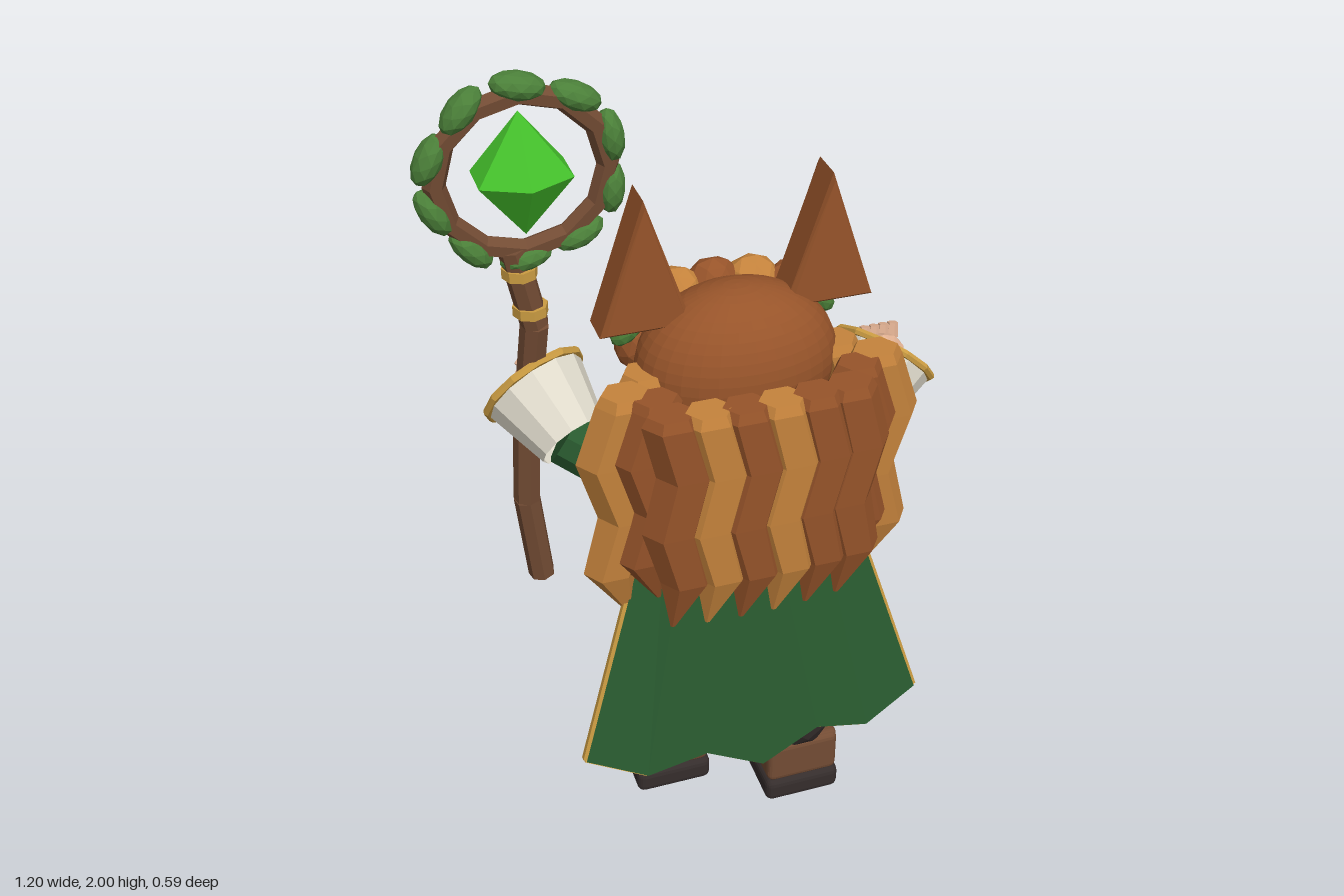
import * as THREE from 'three';
import { RoundedBoxGeometry } from 'three/addons/geometries/RoundedBoxGeometry.js';

const V = (x, y, z) => new THREE.Vector3(x, y, z);
const C = 0.055; // mirror line of the body

function paint(name, color, side = THREE.FrontSide) {
  const m = new THREE.MeshStandardMaterial({ color, flatShading: true, side });
  m.name = name;
  return m;
}

// Plate standing on y = 0, tapering from bottom to top; a triangle when wTop is 0
function plate(wTop, wBottom, h, depth, bevel = 0) {
  const s = new THREE.Shape([
    new THREE.Vector2(-wBottom / 2, 0), new THREE.Vector2(wBottom / 2, 0),
    new THREE.Vector2(wTop / 2, h), new THREE.Vector2(-wTop / 2, h)].slice(0, wTop ? 4 : 3));
  return new THREE.ExtrudeGeometry(s, { depth, bevelEnabled: bevel > 0, bevelSize: bevel, bevelThickness: bevel, bevelSegments: 1 });
}

export function createModel() {
  const root = new THREE.Group();
  const green = paint('cloth green', 0x295a2f, THREE.DoubleSide);
  const leaf = paint('leaf green', 0x4b8039);
  const gem = paint('gem green', 0x45c22c);
  const hair = paint('auburn hair', 0x97542a);
  const light = paint('copper hair', 0xc5833c);
  const leather = paint('leather brown', 0x734c34);
  const dark = paint('charcoal', 0x352d2c);
  const cream = paint('cream', 0xdfdacb, THREE.DoubleSide);
  const gold = paint('gold', 0xcb9c42);
  const skin = paint('skin', 0xe0b092);

  function add(name, geo, mat, p = [0, 0, 0], s = [1, 1, 1], r = [0, 0, 0]) {
    const m = new THREE.Mesh(geo, mat);
    m.name = name;
    m.position.set(...p);
    m.scale.set(...s);
    m.rotation.set(...r);
    root.add(m);
    return m;
  }
  const ball = (name, mat, p, s, w = 16, h = 12) => add(name, new THREE.SphereGeometry(1, w, h), mat, p, s);
  const stone = (name, mat, p, s, r, detail = 1) => add(name, new THREE.IcosahedronGeometry(1, detail), mat, p, s, r);
  const block = (name, mat, p, s, r, bevel = 0.012) => add(name, new RoundedBoxGeometry(...s, 2, bevel), mat, p, [1, 1, 1], r);
  // Tapered rod from a to b
  function rod(name, mat, a, b, r0, r1 = r0, n = 8, open = false) {
    const d = b.clone().sub(a);
    const m = add(name, new THREE.CylinderGeometry(r1, r0, d.length(), n, 1, open), mat, a.clone().lerp(b, 0.5).toArray());
    m.quaternion.setFromUnitVectors(V(0, 1, 0), d.normalize());
  }
  // Disc or ring facing along a direction
  function facing(name, geo, mat, p, dir) {
    add(name, geo, mat, p.toArray()).quaternion.setFromUnitVectors(V(0, 0, 1), dir.clone().normalize());
  }
  // Wavy lock of hair, lofted from top to tip
  function lock(mat, x, z, yTop, yTip, rx, rz, sway) {
    const n = 6, pos = [], idx = [];
    const rings = [[0, 0.8], [0.04, 1], [0.27, 1.05], [0.52, 1.05], [0.77, 0.95], [1, 0.1]];
    rings.forEach(([t, k], i) => {
      const off = (i % 2 ? -sway : sway) * (i === 0 ? -0.5 : 0.5);
      for (let j = 0; j < n; j++) {
        const a = (j / n) * Math.PI * 2;
        pos.push(x + off + Math.cos(a) * rx * k, yTop + (yTip - yTop) * t, z - Math.abs(sway) * t * 0.35 + Math.sin(a) * rz * k);
        const q = i * n + j, w = i * n + ((j + 1) % n), last = i === rings.length - 1;
        if (!last) idx.push(q, w, q + n, w, w + n, q + n);
        if (i === 0 && j > 0 && j < n - 1) idx.push(0, j + 1, j);
        if (last && j > 0 && j < n - 1) idx.push(i * n, q, w);
      }
    });
    const g = new THREE.BufferGeometry();
    g.setAttribute('position', new THREE.Float32BufferAttribute(pos, 3));
    g.setIndex(idx);
    const flat = g.toNonIndexed();
    flat.computeVertexNormals();
    add('hairLock', flat, mat);
  }

  // Boots and legs, one foot forward
  for (const [x, z, lz] of [[-0.1, -0.135, -0.06], [0.21, 0, 0.068]]) {
    block('sole', dark, [x, 0.042, z], [0.2, 0.07, 0.29], [0, 0, 0], 0.02);
    block('boot', leather, [x, 0.135, z + 0.008], [0.19, 0.125, 0.262], [0, 0, 0], 0.018);
    block('bootCuff', leather, [x, 0.185, z + 0.035], [0.19, 0.03, 0.19]);
    add('toeCap', new THREE.OctahedronGeometry(1), gold, [x, 0.125, z - 0.122], [0.07, 0.036, 0.034]);
    block('bootStrap', gold, [x, 0.199, z - 0.085], [0.1, 0.012, 0.02], [0, 0, 0], 0.004);
    for (const s of [-1, 1]) ball('bootStud', gold, [x + s * 0.075, 0.19, z - 0.065], [0.014, 0.014, 0.014], 8, 6);
    stone('leg', dark, [x, 0.325, lz], [0.11, 0.185, 0.114]);
  }

  // Torso, belt and leafy garland
  stone('torso', green, [C, 0.86, -0.01], [0.21, 0.29, 0.145]);
  block('belt', leather, [C, 0.66, -0.01], [0.4, 0.06, 0.29]);
  for (let i = 0; i < 9; i++) {
    const t = (i - 4) / 4;
    stone('beltGarland', i % 2 ? gold : leaf, [C + t * 0.2, 0.62 - 0.02 * (1 - t * t), -0.165 + 0.035 * t * t],
      [0.055, 0.036, 0.032], [0, 0, i % 2 ? 0.7 : -0.5]);
  }
  for (const s of [-1, 1]) {
    stone('garlandEnd', leaf, [C + s * 0.19, 0.575, -0.15], [0.03, 0.05, 0.03], [0, 0, s * 0.4]);
  }

  // Hip panels: green backing, gold border and cream face
  for (const s of [-1, 1]) {
    const panel = new THREE.Group();
    panel.name = 'hipPanel';
    for (const [mat, inset, z, d] of [[green, 0, 0.002, 0.026], [gold, 0, -0.008, 0.01], [cream, 0.015, -0.014, 0.008]]) {
      const m = new THREE.Mesh(plate(0.15 - inset * 2, 0.2 - inset * 2, 0.34 - inset * 2, d), mat);
      m.name = 'panelLayer';
      m.position.set(0, inset - 0.34, z);
      panel.add(m);
    }
    panel.position.set(C + s * 0.12, 0.63, -0.1);
    panel.rotation.set(0, -s * 0.32, s * 0.34, 'ZYX');
    root.add(panel);
  }

  // Cape with a pointed hem
  const cols = 6, top = [], hem = [], capePos = [];
  for (let i = 0; i <= cols; i++) {
    const u = i / 3 - 1;
    top.push(V(C + u * 0.17, 1.2, 0.13 - u * u * 0.05));
    hem.push(V(C + u * 0.43, i % 2 ? (i === 3 ? 0.28 : 0.3) : 0.355, 0.255 - u * u * 0.07));
  }
  for (let i = 0; i < cols; i++) {
    for (const p of [top[i], hem[i], hem[i + 1], top[i], hem[i + 1], top[i + 1]]) capePos.push(...p.toArray());
  }
  const capeGeo = new THREE.BufferGeometry();
  capeGeo.setAttribute('position', new THREE.Float32BufferAttribute(capePos, 3));
  capeGeo.computeVertexNormals();
  add('cape', capeGeo, green);
  const inset = (p) => p.clone().add(V(0, 0, -0.012));
  for (let i = 0; i < cols; i++) rod('capeHem', gold, inset(hem[i]), inset(hem[i + 1]), 0.01, 0.01, 4);
  for (const i of [0, cols]) rod('capeEdge', gold, inset(top[i]), inset(hem[i]), 0.01, 0.01, 4);

  // Collar and pendant
  for (const s of [-1, 1]) {
    const r = [0.45, -s * 0.3, s * 0.55];
    block('collarTrim', gold, [C + s * 0.105, 1.06, -0.148], [0.125, 0.155, 0.014], r, 0.004);
    block('collar', cream, [C + s * 0.105, 1.063, -0.154], [0.103, 0.133, 0.014], r, 0.004);
  }
  add('pendant', new THREE.OctahedronGeometry(1), gem, [C, 0.98, -0.175], [0.038, 0.055, 0.028]);

  // Arms with flared cuffs
  for (const [name, sh, rim, dir] of [
    ['right', V(C - 0.16, 1.0, 0), V(-0.36, 1.2, -0.205), V(-0.35, 0.52, -0.76)],
    ['left', V(C + 0.16, 1.0, 0), V(0.49, 1.15, -0.15), V(0.62, 0.66, -0.42)]]) {
    dir.normalize();
    const wrist = rim.clone().addScaledVector(dir, -0.165);
    rod(name + 'Sleeve', green, sh, wrist.clone().addScaledVector(dir, 0.03), 0.085, 0.08, 10);
    ball(name + 'Shoulder', green, sh.toArray(), [0.09, 0.09, 0.09], 10, 8);
    rod(name + 'Cuff', cream, wrist, rim, 0.085, 0.127, 12, true);
    facing(name + 'CuffLining', new THREE.CircleGeometry(0.105, 12), cream, rim.clone().addScaledVector(dir, -0.06), dir);
    facing(name + 'CuffTrim', new THREE.TorusGeometry(0.127, 0.01, 6, 12), gold, rim, dir);
    const palm = rim.clone().addScaledVector(dir, -0.005);
    stone(name + 'Hand', skin, palm.toArray(), [0.058, 0.058, 0.053]);
    for (let i = 0; i < 4; i++) {
      if (name === 'left') {
        const a = palm.clone().add(V(-0.036 + i * 0.024, 0.03, -0.03));
        rod('finger', skin, a, a.clone().add(V(0.004, 0.035, -0.008)), 0.016, 0.013, 6);
      } else ball('finger', skin, [-0.36, 1.175 + i * 0.024, -0.235], [0.036, 0.015, 0.022], 8, 6);
    }
  }

  // Head and face
  ball('face', skin, [C, 1.27, -0.025], [0.198, 0.19, 0.175], 32, 24);
  ball('hairCap', hair, [C, 1.325, 0.015], [0.232, 0.188, 0.16], 32, 24);
  ball('nose', skin, [C, 1.235, -0.21], [0.035, 0.032, 0.035]);
  block('mouth', dark, [C, 1.175, -0.178], [0.04, 0.009, 0.01], [0.4, 0, 0], 0.003);
  for (const s of [-1, 1]) {
    const dir = V(s * 0.48, 0.04, -1).normalize();
    const eye = V(C, 1.27, -0.025).add(V(dir.x * 0.196, dir.y * 0.19, dir.z * 0.174));
    [[0.05, cream, 'eyeWhite'], [0.034, leaf, 'iris'], [0.021, dark, 'pupil']].forEach(([r, mat, n], i) =>
      facing(n, new THREE.CircleGeometry(r, 18), mat, eye.clone().addScaledVector(dir, 0.007 + i * 0.003), dir));
    // Pointed ear with inner plates
    const ex = s < 0 ? -0.154 : 0.264;
    add('ear', plate(0, 0.182, 0.285, 0.08, 0.011), hair, [ex, 1.45, -0.05]);
    add('earLining', plate(0, 0.145, 0.235, 0.007), cream, [ex, 1.455, -0.068]);
    add('innerEar', plate(0, 0.075, 0.13, 0.004), skin, [ex, 1.475, -0.072]);
    // Leaves and bead at the ear base
    for (let i = 0; i < 2; i++) {
      stone('hairLeaf', leaf, [C + s * (0.19 + i * 0.035), 1.425 - i * 0.03, -0.07], [0.05, 0.028, 0.032], [0, 0, s * (0.4 - i * 1.2)]);
    }
    ball('hairBead', gold, [C + s * 0.2, 1.46, -0.1], [0.018, 0.018, 0.018], 8, 6);
    stone('sideCurl', hair, [C + s * 0.195, 1.335, -0.11], [0.05, 0.07, 0.052], [0, 0, s * 0.2]);
  }

  // Fringe curls around the forehead
  for (let i = 0; i < 5; i++) {
    const t = (i - 2) / 2;
    stone('fringeCurl', i % 2 ? light : hair, [C + t * 0.185, 1.415 - t * t * 0.02, -0.148 + t * t * 0.025],
      [0.07, 0.075, 0.055], [0, 0, t * 0.7]);
  }

  // Long wavy hair
  for (let i = 0; i < 6; i++) {
    const t = (i - 2.5) / 2.5;
    lock(i === 1 || i === 3 ? light : hair, C + t * 0.2, 0.248 - t * t * 0.015, 1.36, 0.765, 0.066, 0.052, 0.034);
  }
  for (const s of [-1, 1]) {
    lock(light, C + s * 0.31, 0.125, 1.36, 0.735, 0.066, 0.055, s * 0.045);
    lock(hair, C + s * 0.25, 0.165, 1.36, 0.8, 0.06, 0.05, s * 0.04);
    lock(light, C + s * 0.245, 0.05, 1.355, 0.77, 0.055, 0.055, s * 0.04);
  }

  // Staff with a leafy ring and floating crystal
  const path = [V(-0.37, 0.63, -0.225), V(-0.395, 0.88, -0.21), V(-0.385, 1.1, -0.195), V(-0.36, 1.4, -0.145), V(-0.4, 1.6, -0.135)];
  for (let i = 0; i < 4; i++) rod('staff', leather, path[i], path[i + 1], 0.033, 0.033, 7);
  for (const p of [V(-0.368, 1.44, -0.143), V(-0.387, 1.54, -0.138)]) {
    rod('staffBand', gold, p.clone().add(V(0, -0.012, 0)), p.clone().add(V(0, 0.012, 0)), 0.04, 0.04, 8);
  }
  const mid = V(-0.37, 1.775, -0.12), tilt = 0.08;
  add('staffRing', new THREE.TorusGeometry(0.184, 0.025, 6, 12), leather, mid.toArray(), [1, 1, 1], [tilt, 0, 0]);
  for (let i = 0; i < 10; i++) {
    const a = (i + 0.5) / 10 * Math.PI * 2, r = 0.2;
    stone('ringLeaf', leaf, [mid.x + Math.cos(a) * r, mid.y + Math.sin(a) * r, mid.z + Math.sin(a) * r * tilt],
      [0.03, 0.06, 0.038], [0, 0, a + (i % 2 ? 0.2 : -0.2)]);
  }
  for (const s of [1, -1]) {
    add('crystal', new THREE.ConeGeometry(0.095, 0.14, 6), gem, [mid.x, mid.y + s * 0.07, mid.z], [1.22, 1, 1], [s < 0 ? Math.PI : 0, 0, 0]);
  }
  return root;
}
